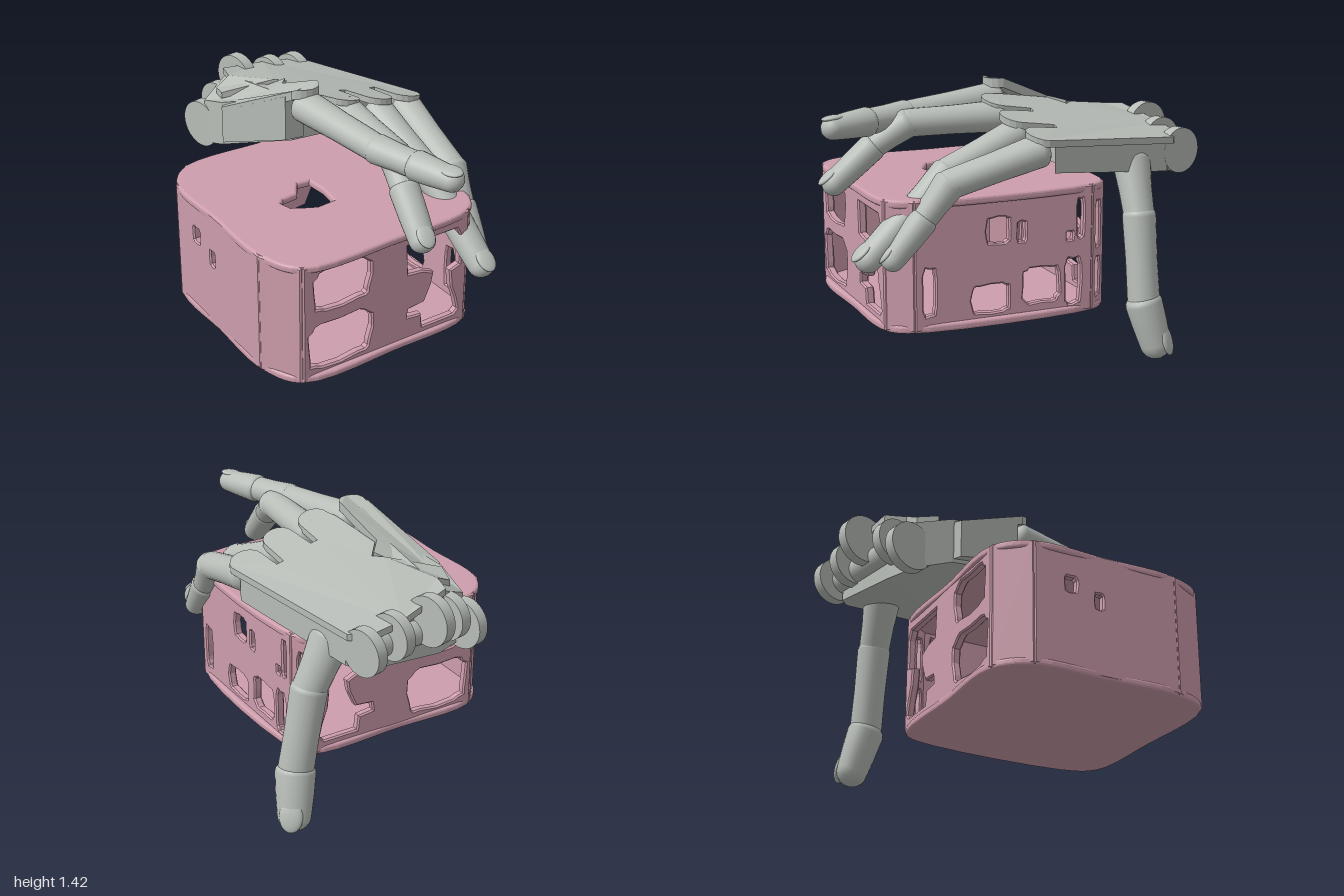
import * as THREE from 'three';

const grey = new THREE.MeshStandardMaterial({ color: 0xb8bdb8, side: THREE.DoubleSide });
const pink = new THREE.MeshStandardMaterial({ color: 0xcd9dac, side: THREE.DoubleSide });
const V = (a) => new THREE.Vector3(...a);
const P = (pts) => pts.map(([x, y]) => new THREE.Vector2(x, y));

function add(parent, name, geo, mat) {
  const m = new THREE.Mesh(geo, mat);
  m.name = name;
  parent.add(m);
  return m;
}

// Slightly uneven rounded-rectangle hole
function blob([cx, cy, rx, ry]) {
  const pts = [];
  for (let i = 0; i < 20; i++) {
    const a = -i / 20 * Math.PI * 2, c = Math.cos(a), s = Math.sin(a);
    const w = 1 + 0.05 * Math.sin(i * 2.3 + cx * 9);
    pts.push([cx + rx * w * Math.sign(c) * Math.abs(c) ** 0.45, cy + ry * w * Math.sign(s) * Math.abs(s) ** 0.45]);
  }
  return pts;
}

// Upright panel between two floor points [x, z], pierced by holes
function wall(parent, name, p, q, holes = []) {
  const dx = q[0] - p[0], dz = q[1] - p[1], len = Math.hypot(dx, dz);
  const shape = new THREE.Shape(P([[0, 0.26], [len, 0.26], [len, 0.91], [0, 0.91]]));
  for (const h of holes) shape.holes.push(new THREE.Path(P(Array.isArray(h[0]) ? h : blob(h))));
  const geo = new THREE.ExtrudeGeometry(shape, { depth: 0.03, bevelSize: 0.008, bevelThickness: 0.008, bevelSegments: 1 });
  geo.translate(0, 0, -0.015);
  const m = add(parent, name, geo, pink);
  m.position.set(p[0], 0, p[1]);
  m.rotation.y = Math.atan2(-dz, dx);
}

function makeBox() {
  const box = new THREE.Group();
  box.name = 'box';
  const c = [[-0.6, 0.76], [0.38, 0.76], [0.465, 0.65], [0.465, -0.31], [0.4, -0.4], [-0.56, -0.4], [-0.69, -0.25], [-0.7, 0.56]];
  const tornHole = [[0.6, 0.84], [0.92, 0.84], [0.95, 0.78], [0.95, 0.61], [0.89, 0.59], [0.9, 0.5], [0.93, 0.42], [0.95, 0.34],
    [0.92, 0.31], [0.71, 0.31], [0.7, 0.39], [0.61, 0.4], [0.62, 0.46], [0.72, 0.47], [0.76, 0.56], [0.77, 0.62], [0.7, 0.65], [0.61, 0.66]];
  const faceHoles = [[0.22, 0.75, 0.17, 0.12], [0.21, 0.435, 0.19, 0.135], tornHole];
  wall(box, 'frontWall', c[0], c[1], faceHoles);
  wall(box, 'backWall', c[5], c[4], faceHoles);
  wall(box, 'rightSideWall', c[2], c[3], [[0.44, 0.73, 0.07, 0.075], [0.57, 0.71, 0.03, 0.06], [0.4, 0.38, 0.11, 0.08],
    [0.68, 0.42, 0.11, 0.1], [0.86, 0.42, 0.05, 0.13], [0.84, 0.66, 0.025, 0.03], [0.9, 0.75, 0.025, 0.11], [0.07, 0.45, 0.04, 0.13]]);
  wall(box, 'leftSideWall', c[6], c[7], [[0.2, 0.72, 0.04, 0.05], [0.36, 0.66, 0.03, 0.05]]);
  wall(box, 'tornCorner', c[3], c[4], [[0.055, 0.7, 0.03, 0.13], [0.055, 0.42, 0.03, 0.11]]);
  for (const [a, b] of [[1, 2], [5, 6], [7, 0]]) wall(box, 'cornerWall', c[a], c[b]);

  // Lid and floor with softly curved rims
  const rim = [c[0], [-0.05, 0.785], ...c.slice(1, 5), [-0.1, -0.41], ...c.slice(5, 7), [-0.7, 0.15], c[7]];
  const curve = new THREE.CatmullRomCurve3(rim.map(([x, z]) => V([x, -z, 0])), true, 'centripetal');
  const outline = curve.getPoints(60).slice(0, -1).map((p) => new THREE.Vector2(p.x, p.y));
  for (const [name, y] of [['floor', 0.257], ['lid', 0.893]]) {
    const shape = new THREE.Shape(outline);
    if (name === 'lid') shape.holes.push(new THREE.Path(P([[-0.38, -0.2], [-0.36, -0.28], [-0.29, -0.32], [-0.23, -0.35],
      [-0.11, -0.34], [-0.09, -0.2], [-0.1, -0.07], [-0.19, -0.06], [-0.25, -0.15], [-0.34, -0.16]])));
    const geo = new THREE.ExtrudeGeometry(shape, { depth: 0.015, bevelSize: 0.016, bevelThickness: 0.014, bevelSegments: 3 });
    geo.rotateX(-Math.PI / 2);
    add(box, name, geo, pink).position.y = y;
  }
  return box;
}

// Slab with an [x, z] outline between two height rules
function slab(parent, name, pts, bottom, top) {
  const shape = new THREE.Shape(P(pts.map(([x, z]) => [x, -z])));
  const geo = new THREE.ExtrudeGeometry(shape, { depth: 1, bevelEnabled: false });
  geo.rotateX(-Math.PI / 2);
  const p = geo.attributes.position;
  for (let i = 0; i < p.count; i++) {
    const x = p.getX(i), z = p.getZ(i);
    p.setY(i, THREE.MathUtils.lerp(bottom(x, z), top(x, z), p.getY(i)));
  }
  geo.computeVertexNormals();
  add(parent, name, geo, grey);
}

function makePalm() {
  const palm = new THREE.Group();
  palm.name = 'palm';
  const blend = (front, rear) => (x, z) => THREE.MathUtils.lerp(front(x), rear(x), (0.1 - z) / 0.9);
  const top = blend((x) => 1.36 - 0.24 * x, (x) => 1.2 - 0.17 * x - 0.8 * Math.max(0, -0.1 - x));
  const under = blend((x) => 1.12 - 0.14 * x, (x) => 0.86 + 0.17 * x);

  // Back-of-hand plate with rounded knuckle lobes and slots between them
  const lobe = (cx, cz, r) => [...Array(9).keys()].map((i) => {
    const a = Math.PI * i / 8;
    return [cx + r * Math.cos(a), cz + r * Math.sin(a)];
  });
  const plate = [[-0.25, -0.56], [-0.22, -0.67], [-0.13, -0.69], [-0.1, -0.8], [0.2, -0.87], [0.36, -0.87], [0.46, -0.8],
    ...lobe(0.55, 0.0, 0.085), [0.45, -0.13], [0.41, -0.13],
    ...lobe(0.335, 0.05, 0.08), [0.235, -0.1], [0.195, -0.1], ...lobe(0.12, 0.06, 0.08), [0.02, 0], [-0.02, -0.3], [0.05, -0.38], [0, -0.43]];
  slab(palm, 'backPlate', plate, (x, z) => top(x, z) - 0.035, top);
  slab(palm, 'palmBody', [[-0.29, -0.5], [-0.28, -0.7], [-0.1, -0.77], [0.36, -0.83], [0.45, -0.77], [0.61, -0.04],
    [0.5, -0.15], [0.3, -0.13], [0.1, -0.1], [-0.1, -0.1]], under, (x, z) => top(x, z) - 0.03);

  // Raised panel behind the first finger, with its flank
  const panelTop = (x, z) => Math.min(1.415, 1.438 + 0.433 * z + 0.215 * x);
  slab(palm, 'indexPanel', [[-0.24, -0.54], [-0.31, -0.46], [-0.155, -0.01], ...lobe(-0.07, -0.03, 0.08).reverse(),
    [-0.03, -0.3], [0.04, -0.38], [-0.01, -0.42]], (x, z) => panelTop(x, z) - 0.05, panelTop);
  slab(palm, 'indexFlank', [[-0.24, -0.54], [-0.31, -0.46], [-0.17, -0.05], [-0.06, -0.05]],
    (x, z) => under(x, z) + 0.02, (x, z) => panelTop(x, z) - 0.02);

  // Round wrist lugs
  for (const [x, y, z, r] of [[-0.27, 0.96, -0.73, 0.13], [-0.15, 1.04, -0.76, 0.12], [0.03, 1.11, -0.865, 0.13],
    [0.23, 1.07, -0.84, 0.12], [0.4, 1.04, -0.86, 0.12]]) {
    const g = new THREE.CylinderGeometry(r, r, 0.06, 32);
    g.rotateZ(Math.PI / 2);
    const m = add(palm, 'wristLug', g, grey);
    m.position.set(x, y, z);
    m.rotation.y = 0.22;
  }
  const axle = new THREE.CylinderGeometry(0.07, 0.07, 0.66, 24);
  axle.rotateZ(Math.PI / 2 + 0.06);
  const m = add(palm, 'wristAxle', axle, grey);
  m.position.set(0.07, 1.02, -0.78);
  m.rotation.y = 0.14;
  return palm;
}

// Chain of round-ended segments with a nail on the last one
function makeFinger(name, joints, radii, hint) {
  const finger = new THREE.Group();
  finger.name = name;
  const pts = joints.map(V);
  for (let i = 0; i < pts.length - 1; i++) {
    const last = i === pts.length - 2;
    const r0 = radii[i] * (last ? 1.05 : 1), r1 = radii[i + 1] * (last ? 1 : 0.92);
    const dir = pts[i + 1].clone().sub(pts[i]);
    const len = dir.length() - (last ? r1 * 0.9 : 0);
    dir.normalize();
    const back = V(hint).addScaledVector(dir, -V(hint).dot(dir)).normalize();
    const seg = new THREE.Group();
    seg.name = last ? 'fingertip' : 'phalanx';
    seg.position.copy(pts[i]);
    seg.quaternion.setFromRotationMatrix(new THREE.Matrix4().makeBasis(dir.clone().cross(back), dir, back));
    finger.add(seg);

    const prof = [];
    for (let k = 0; k <= 5; k++) {
      const a = k / 5 * Math.PI / 2;
      prof.push([r0 * Math.sin(a), -0.6 * r0 * Math.cos(a)]);
    }
    prof.push([(r0 + r1) * (last ? 0.51 : 0.48), len * 0.5]);
    for (let k = 5; k >= 0; k--) {
      const a = k / 5 * Math.PI / 2;
      prof.push([r1 * Math.sin(a), len + (last ? 0.9 : 0.6) * r1 * Math.cos(a)]);
    }
    const body = add(seg, 'shell', new THREE.LatheGeometry(P(prof), 24), grey);
    body.scale.z = 0.92;
    if (last) {
      const nail = add(seg, 'nail', new THREE.SphereGeometry(1, 20, 12), grey);
      nail.scale.set(r1 * 0.7, r1 * 0.95, r1 * 0.25);
      nail.position.set(0, len - r1 * 0.1, r1 * 0.76);
    }
  }
  return finger;
}

export function createModel() {
  const model = new THREE.Group();
  model.name = 'handOverBox';
  const hand = new THREE.Group();
  hand.name = 'hand';
  const up = [0, 1, 0.35];
  hand.add(
    makePalm(),
    makeFinger('indexFinger', [[-0.075, 1.3, 0.0], [0.0, 1.26, 0.52], [0.07, 1.25, 0.75], [0.15, 1.24, 1.0]], [0.092, 0.082, 0.078, 0.065], up),
    makeFinger('middleFinger', [[0.13, 1.24, 0.06], [0.08, 1.23, 0.54], [0.03, 1.11, 0.71], [-0.01, 0.89, 0.95]], [0.09, 0.085, 0.075, 0.068], up),
    makeFinger('ringFinger', [[0.34, 1.18, 0.05], [0.36, 1.02, 0.44], [0.39, 0.83, 0.65], [0.415, 0.59, 0.92]], [0.09, 0.084, 0.08, 0.073], up),
    makeFinger('littleFinger', [[0.55, 1.13, 0.02], [0.5, 0.99, 0.48], [0.48, 0.82, 0.61], [0.46, 0.59, 0.8]], [0.092, 0.088, 0.077, 0.066], up),
    makeFinger('thumb', [[0.41, 1.0, -0.58], [0.53, 0.74, -0.565], [0.61, 0.29, -0.56], [0.665, 0.0, -0.63]], [0.108, 0.095, 0.1, 0.088], [0.7, 0, -0.7]),
  );
  model.add(makeBox(), hand);
  return model;
}
